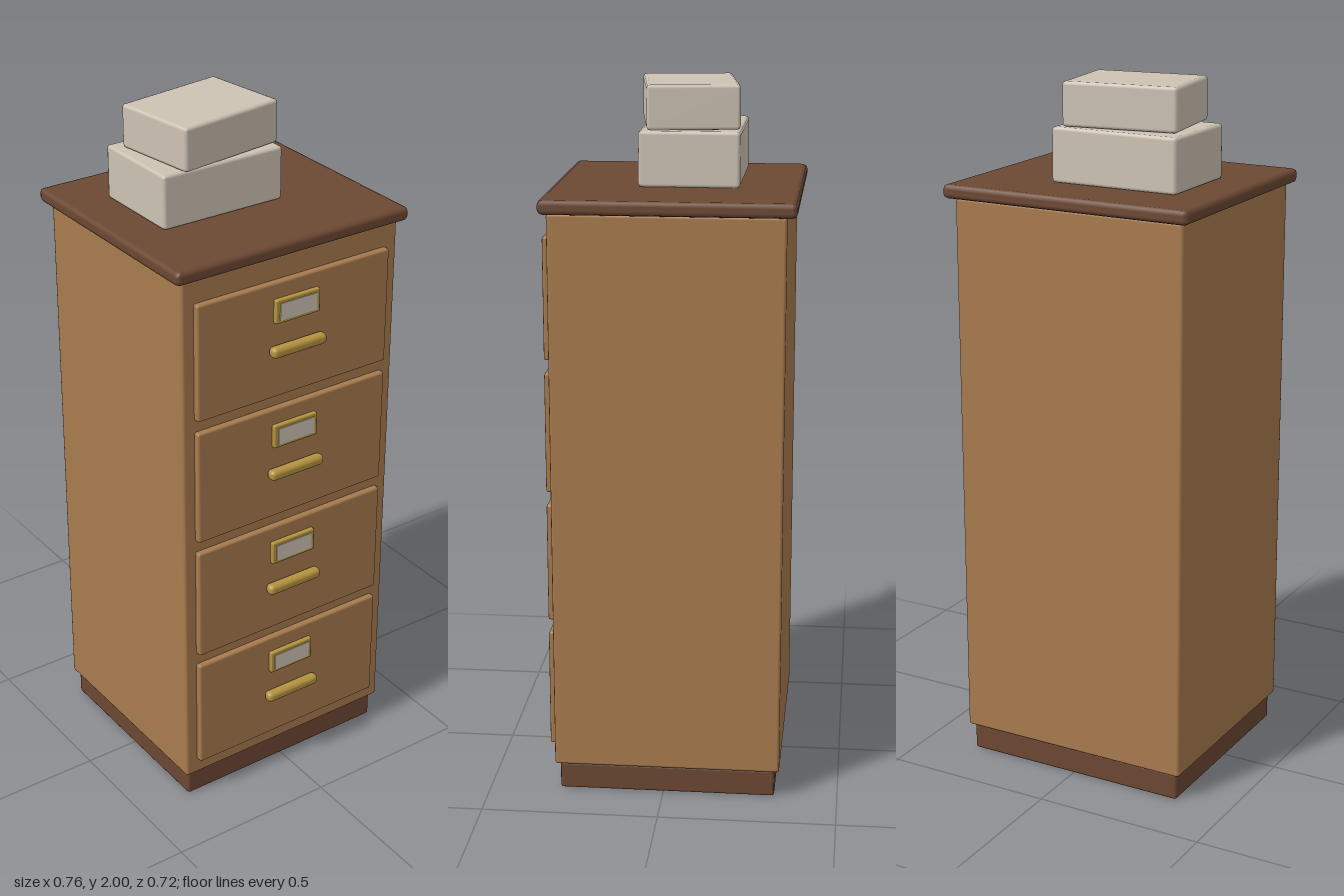
import * as THREE from 'three';
import { RoundedBoxGeometry } from 'three/addons/geometries/RoundedBoxGeometry.js';

const mat = (name, color) => {
  const m = new THREE.MeshStandardMaterial({ color });
  m.name = name;
  return m;
};

export function createModel() {
  const wood = mat('oak', 0xa87b4e);
  const dark = mat('darkWood', 0x6c4833);
  const brass = mat('brass', 0xb5933f);
  const paper = mat('paper', 0xcdc3b4);

  const model = new THREE.Group();
  model.name = 'filingCabinet';

  // Bevelled block given by its centre and size
  const block = (name, parent, material, [x, y, z], [w, h, d], bevel, segments = 1) => {
    const mesh = new THREE.Mesh(new RoundedBoxGeometry(w, h, d, segments, bevel), material);
    mesh.name = name;
    mesh.position.set(x, y, z);
    parent.add(mesh);
    return mesh;
  };

  // Carcass
  block('plinth', model, dark, [0, 0.04, -0.011], [0.68, 0.08, 0.618], 0.008);
  block('body', model, wood, [0, 0.88, -0.011], [0.708, 1.6, 0.646], 0.008);
  block('topSlab', model, dark, [0, 1.7, -0.0145], [0.758, 0.04, 0.695], 0.014);

  // Four identical drawers
  for (let i = 0; i < 4; i++) {
    const drawer = new THREE.Group();
    drawer.name = `drawer${i + 1}`;
    drawer.position.y = 0.3 + i * 0.38;
    model.add(drawer);
    block('drawerFront', drawer, wood, [0, 0, 0.315], [0.634, 0.344, 0.03], 0.007);
    block('labelFrame', drawer, brass, [0, 0.09, 0.334], [0.146, 0.07, 0.018], 0.004);
    const card = new THREE.Mesh(new THREE.BoxGeometry(0.122, 0.05, 0.004), paper);
    card.name = 'labelCard';
    card.position.set(0, 0.09, 0.3435);
    drawer.add(card);
    block('handle', drawer, brass, [0, -0.025, 0.344], [0.18, 0.032, 0.032], 0.013, 2);
  }

  // Two stacked boxes, the upper one turned
  block('lowerBox', model, paper, [-0.065, 1.797, -0.052], [0.386, 0.155, 0.283], 0.01);
  block('upperBox', model, paper, [-0.053, 1.938, -0.041], [0.334, 0.124, 0.259], 0.01).rotation.y = 0.138;

  return model;
}
